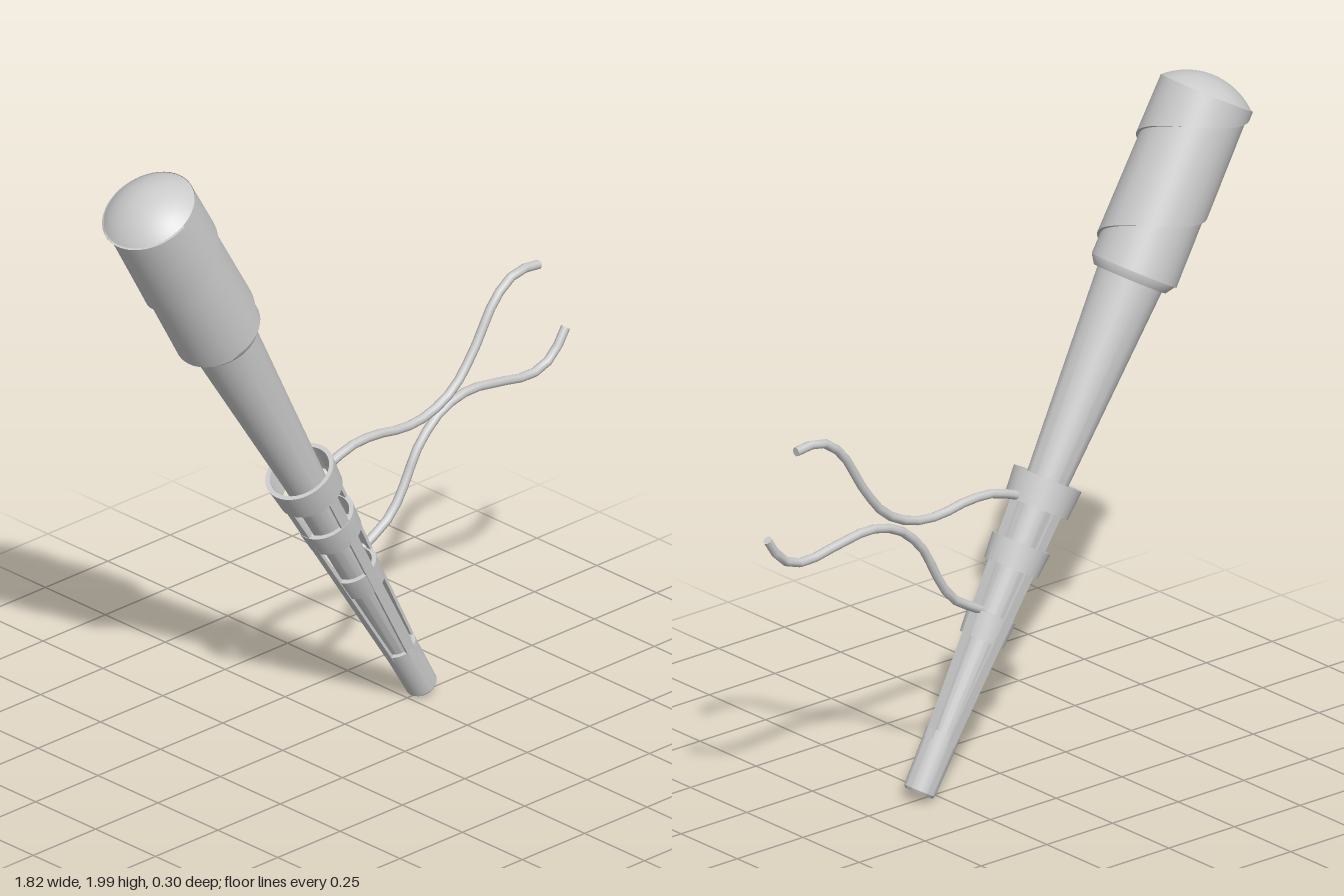
import * as THREE from 'three';
import { toCreasedNormals } from 'three/addons/utils/BufferGeometryUtils.js';

const material = new THREE.MeshStandardMaterial({ color: 0xcccccc });
const twoSided = new THREE.MeshStandardMaterial({ color: 0xcccccc, side: THREE.DoubleSide });

function add(parent, name, geometry, mat = material) {
  const mesh = new THREE.Mesh(geometry, mat);
  mesh.name = name;
  parent.add(mesh);
  return mesh;
}

// Turned part from [radius, height] pairs, listed bottom to top
function turned(points, sides = 40) {
  const profile = points.map(([r, y]) => new THREE.Vector2(r, y));
  return toCreasedNormals(new THREE.LatheGeometry(profile, sides), 0.6);
}

const GRIP_LOW = 1.62, GRIP_HIGH = 2.19;
const gripRadius = (y) => 0.125 + 0.01 * (y - GRIP_LOW) / (GRIP_HIGH - GRIP_LOW);

// Overlapping wrap: a helical band whose lower edge stands proud
function wrapGeometry() {
  const pitch = 0.31, start = 1.737 - Math.PI / 2 / (2 * Math.PI) * pitch;
  const perTurn = 48, positions = [], index = [];
  const clampY = (y) => Math.min(GRIP_HIGH, Math.max(GRIP_LOW + 0.015, y));
  const first = -perTurn * 1.5, last = perTurn * 2;
  for (let i = first; i <= last; i++) {
    const a = i / perTurn * Math.PI * 2;
    const low = start + i / perTurn * pitch;
    const y0 = clampY(low), y1 = clampY(low + pitch);
    // lift fades from the lower edge to the upper edge of the band
    const lift = (y) => 0.003 + 0.009 * (1 - (y - low) / pitch);
    const section = [
      [gripRadius(y0) - 0.004, y0],
      [gripRadius(y0) + lift(y0), y0],
      [gripRadius(y1) + lift(y1), y1],
    ];
    for (const [r, y] of section) positions.push(r * Math.sin(a), y, r * Math.cos(a));
    if (i === last) break;
    const n = (i - first) * 3;
    for (let k = 0; k < 2; k++) {
      const p = n + k, q = n + k + 3;
      index.push(p, q, p + 1, q, q + 1, p + 1);
    }
  }
  const g = new THREE.BufferGeometry();
  g.setAttribute('position', new THREE.Float32BufferAttribute(positions, 3));
  g.setIndex(index);
  g.computeVertexNormals();
  return toCreasedNormals(g, 0.6);
}

// Wavy cord with flat ends
function cord(parent, name, points, z) {
  const group = new THREE.Group();
  group.name = name;
  const curve = new THREE.CatmullRomCurve3(points.map(([x, y]) => new THREE.Vector3(x, y, z)));
  add(group, 'cordLength', new THREE.TubeGeometry(curve, 18, 0.014, 8));
  for (const t of [0, 1]) {
    const cap = add(group, 'cordEnd', new THREE.CircleGeometry(0.014, 8), twoSided);
    cap.position.copy(curve.getPoint(t));
    cap.quaternion.setFromUnitVectors(new THREE.Vector3(0, 0, 1), curve.getTangent(t));
  }
  parent.add(group);
}

export function createModel() {
  const model = new THREE.Group();
  model.name = 'clubInHolder';

  // Everything except the cords is built upright, then leaned by 30 degrees
  const leaning = new THREE.Group();
  leaning.name = 'leaningClub';
  leaning.position.set(0.31, 0.025, 0);
  leaning.rotation.z = Math.PI / 6;
  model.add(leaning);

  // Tapered shaft
  add(leaning, 'shaft', turned([[0, 0.05], [0.036, 0.05], [0.062, 0.95], [0.103, 1.65]]));

  // Grip with a bevelled lower edge and a domed top
  const grip = new THREE.Group();
  grip.name = 'grip';
  leaning.add(grip);
  add(grip, 'gripCore', turned([[0.095, GRIP_LOW - 0.012], [0.112, GRIP_LOW - 0.012],
    [0.128, GRIP_LOW + 0.012], [0.135, GRIP_HIGH]], 48));
  add(grip, 'gripWrap', wrapGeometry(), twoSided);
  const domeRadius = 0.206, half = Math.asin(0.141 / domeRadius);
  const dome = add(grip, 'gripDome',
    new THREE.SphereGeometry(domeRadius, 48, 10, 0, Math.PI * 2, 0, half));
  dome.position.y = GRIP_HIGH - domeRadius * Math.cos(half);

  // Holder: end cup, three rings and four straps
  const holder = new THREE.Group();
  holder.name = 'holder';
  leaning.add(holder);
  add(holder, 'endCup', turned([[0, 0], [0.042, 0], [0.048, 0.008], [0.052, 0.19], [0.034, 0.19]]));

  const rings = [[0.48, 0.56, 0.068, 0.074], [0.705, 0.783, 0.084, 0.09], [0.895, 0.985, 0.099, 0.106]];
  for (const [y0, y1, r0, r1] of rings) {
    const wall = 0.014;
    add(holder, 'holderRing', turned([[r0, y0], [r1, y1], [r1 - wall, y1], [r0 - wall, y0], [r0, y0]]));
  }

  const low = new THREE.Vector2(0.045, 0.16), high = new THREE.Vector2(0.093, 0.94);
  const run = high.clone().sub(low);
  for (let i = 0; i < 4; i++) {
    const pivot = new THREE.Group();
    pivot.name = 'holderStrap';
    pivot.rotation.y = i * Math.PI / 2;
    const strap = add(pivot, 'strap', new THREE.BoxGeometry(0.009, run.length(), 0.032));
    strap.position.set((low.x + high.x) / 2, (low.y + high.y) / 2, 0);
    strap.rotation.z = -Math.atan2(run.x, run.y);
    holder.add(pivot);
  }

  // Two crossing cords tied to the rings
  cord(model, 'upperCord', [[-0.07, 0.855], [0.03, 0.888], [0.13, 0.89], [0.24, 0.874], [0.34, 0.885],
    [0.44, 0.935], [0.52, 1.03], [0.61, 1.17], [0.69, 1.222], [0.78, 1.218]], -0.004);
  cord(model, 'lowerCord', [[0.08, 0.54], [0.19, 0.605], [0.25, 0.69], [0.3, 0.785], [0.39, 0.87],
    [0.5, 0.903], [0.62, 0.89], [0.76, 0.87], [0.84, 0.9], [0.895, 0.975]], -0.011);

  return model;
}
